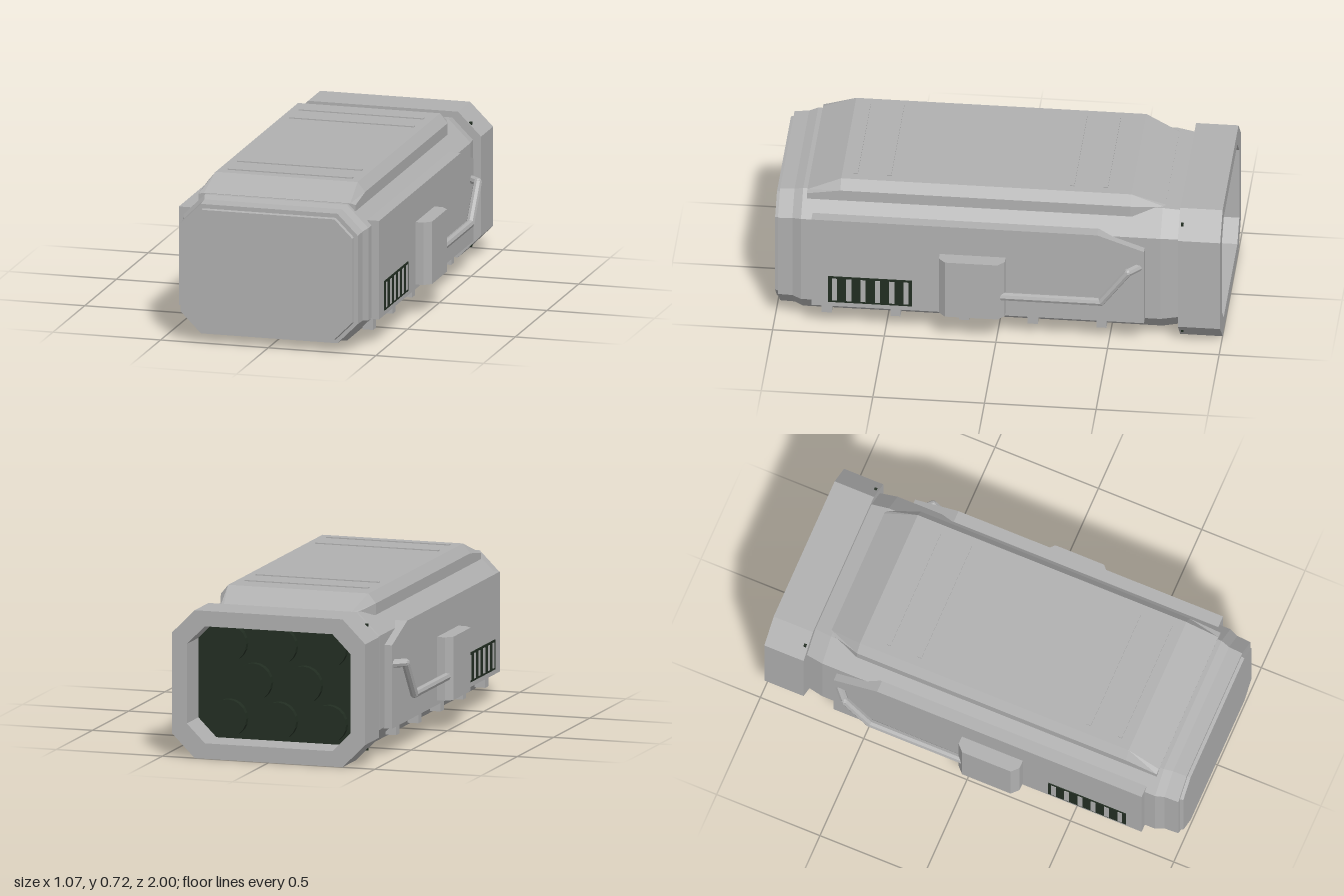
import * as THREE from 'three';

const mat = (name, color) => {
  const m = new THREE.MeshStandardMaterial({ color, flatShading: true });
  m.name = name;
  return m;
};

// Eight-sided outline with cut corners, anticlockwise seen from +z
const octagon = (w, y0, y1, c) => [
  [-w + c, y0], [w - c, y0], [w, y0 + c], [w, y1 - c],
  [w - c, y1], [-w + c, y1], [-w, y1 - c], [-w, y0 + c],
];

// Skin over outlines listed from back to front, with flat caps
function loft(sections) {
  const pos = [];
  const tri = (...pts) => pts.forEach((p) => pos.push(...p));
  const rings = sections.map(([z, ring]) => ring.map(([x, y]) => [x, y, z]));
  const n = rings[0].length;
  for (let i = 0; i < rings.length - 1; i++) {
    for (let j = 0; j < n; j++) {
      const k = (j + 1) % n, a = rings[i], b = rings[i + 1];
      tri(a[j], a[k], b[k]);
      tri(a[j], b[k], b[j]);
    }
  }
  const back = rings[0], front = rings[rings.length - 1];
  for (let j = 1; j < n - 1; j++) {
    tri(back[0], back[j + 1], back[j]);
    tri(front[0], front[j], front[j + 1]);
  }
  const g = new THREE.BufferGeometry();
  g.setAttribute('position', new THREE.Float32BufferAttribute(pos, 3));
  g.computeVertexNormals();
  return g;
}

const toShape = (pts) => new THREE.Shape(pts.map(([x, y]) => new THREE.Vector2(x, y)));
const extrude = (shape, depth) => new THREE.ExtrudeGeometry(shape, { depth, bevelEnabled: false });

export function createModel() {
  const group = new THREE.Group();
  const grey = mat('grey metal', 0xb0b0b0);
  const dark = mat('dark green', 0x222e22);

  const add = (name, geometry, material, x = 0, y = 0, z = 0) => {
    const mesh = new THREE.Mesh(geometry, material);
    mesh.name = name;
    mesh.position.set(x, y, z);
    group.add(mesh);
    return mesh;
  };
  const box = (name, w, h, d, material, x, y, z) =>
    add(name, new THREE.BoxGeometry(w, h, d), material, x, y, z);
  const rod = (name, a, b, r) => {
    const dir = b.clone().sub(a);
    const m = add(name, new THREE.CylinderGeometry(r, r, dir.length(), 8), grey);
    m.position.copy(a).add(b).multiplyScalar(0.5);
    m.quaternion.setFromUnitVectors(new THREE.Vector3(0, 1, 0), dir.normalize());
  };

  // Main body and front plate
  add('body', loft([
    [-0.82, octagon(0.415, 0.04, 0.64, 0.095)],
    [-0.73, octagon(0.43, 0.027, 0.652, 0.1)],
    [0.88, octagon(0.43, 0.027, 0.652, 0.1)],
    [0.92, octagon(0.415, 0.04, 0.64, 0.095)],
    [0.985, octagon(0.412, 0.04, 0.635, 0.095)],
  ]), grey);
  add('frontPlate', loft([
    [0.98, octagon(0.395, 0.055, 0.617, 0.085)],
    [1.0, octagon(0.39, 0.06, 0.612, 0.083)],
  ]), grey);

  // Raised lid with sloping ends and cross ribs
  const lidRing = (w, t, mid, top) =>
    [[-w, 0.62], [w, 0.62], [w, mid], [t, top], [-t, top], [-w, mid]];
  add('lid', loft([
    [-0.74, lidRing(0.315, 0.3, 0.648, 0.652)],
    [-0.59, lidRing(0.365, 0.33, 0.672, 0.715)],
    [0.71, lidRing(0.365, 0.33, 0.672, 0.715)],
    [0.86, lidRing(0.365, 0.34, 0.648, 0.654)],
  ]), grey);
  for (const z of [0.65, 0.5, -0.32, -0.47]) box('lidRib', 0.58, 0.01, 0.02, grey, 0, 0.715, z);

  // Hollow rear collar
  const collar = toShape(octagon(0.455, 0, 0.67, 0.107));
  collar.holes.push(toShape(octagon(0.385, 0.07, 0.6, 0.085)));
  add('rearCollar', extrude(collar, 0.19), grey, 0, 0, -1);

  // Dark recess floor with round cells
  add('recessFloor', loft([
    [-0.84, octagon(0.39, 0.065, 0.605, 0.085)],
    [-0.815, octagon(0.39, 0.065, 0.605, 0.085)],
  ]), dark);
  const cell = new THREE.CylinderGeometry(0.085, 0.085, 0.04, 20).rotateX(Math.PI / 2);
  [3, 2, 3].forEach((count, row) => {
    for (let i = 0; i < count; i++) {
      add('recessCell', cell, dark, (i - (count - 1) / 2) * 0.235, 0.165 + row * 0.17, -0.85);
    }
  });

  for (const s of [1, -1]) {
    // Side armour panel, its rear top corner cut away
    const panel = toShape([[-0.83, 0.122], [0.66, 0.122], [0.66, 0.5], [0.45, 0.575], [-0.83, 0.575]]);
    add('sidePanel', extrude(panel, 0.055).rotateY(Math.PI / 2), grey, s > 0 ? 0.41 : -0.465);

    // Vent
    box('ventPlate', 0.008, 0.135, 0.375, dark, s * 0.465, 0.2125, 0.567);
    for (let i = 0; i < 6; i++) {
      box('ventSlat', 0.006, 0.115, 0.023, grey, s * 0.468, 0.2125, 0.405 + i * 0.0642);
    }

    // Side box with chamfered ends
    const plan = [[0.46, 0.255], [0.502, 0.255], [0.533, 0.225], [0.533, -0.01], [0.502, -0.04], [0.46, -0.04]];
    add('sideBox', extrude(toShape(plan.map(([x, z]) => [s * x, -z])), 0.287).rotateX(-Math.PI / 2),
      grey, 0, 0.143);

    // Bent handle rail
    const rail = [[0.505, 0.25, -0.02], [0.505, 0.25, -0.47], [0.505, 0.412, -0.59], [0.45, 0.412, -0.64]]
      .map(([x, y, z]) => new THREE.Vector3(s * x, y, z));
    for (let i = 0; i < 3; i++) {
      rod('handleRail', rail[i], rail[i + 1], 0.019);
      if (i) add('handleJoint', new THREE.SphereGeometry(0.019, 8, 6), grey, ...rail[i].toArray());
    }

    // Studs along the lower edge
    for (let i = 0; i < 5; i++) box('lowerStud', 0.05, 0.055, 0.045, grey, s * 0.4, 0.088, 0.765 - i * 0.3075);

    // Small collar bolts
    for (const y of [0.055, 0.617]) {
      box('collarBolt', 0.012, 0.012, 0.012, dark, s * 0.402, y, -0.825);
    }
  }
  return group;
}
